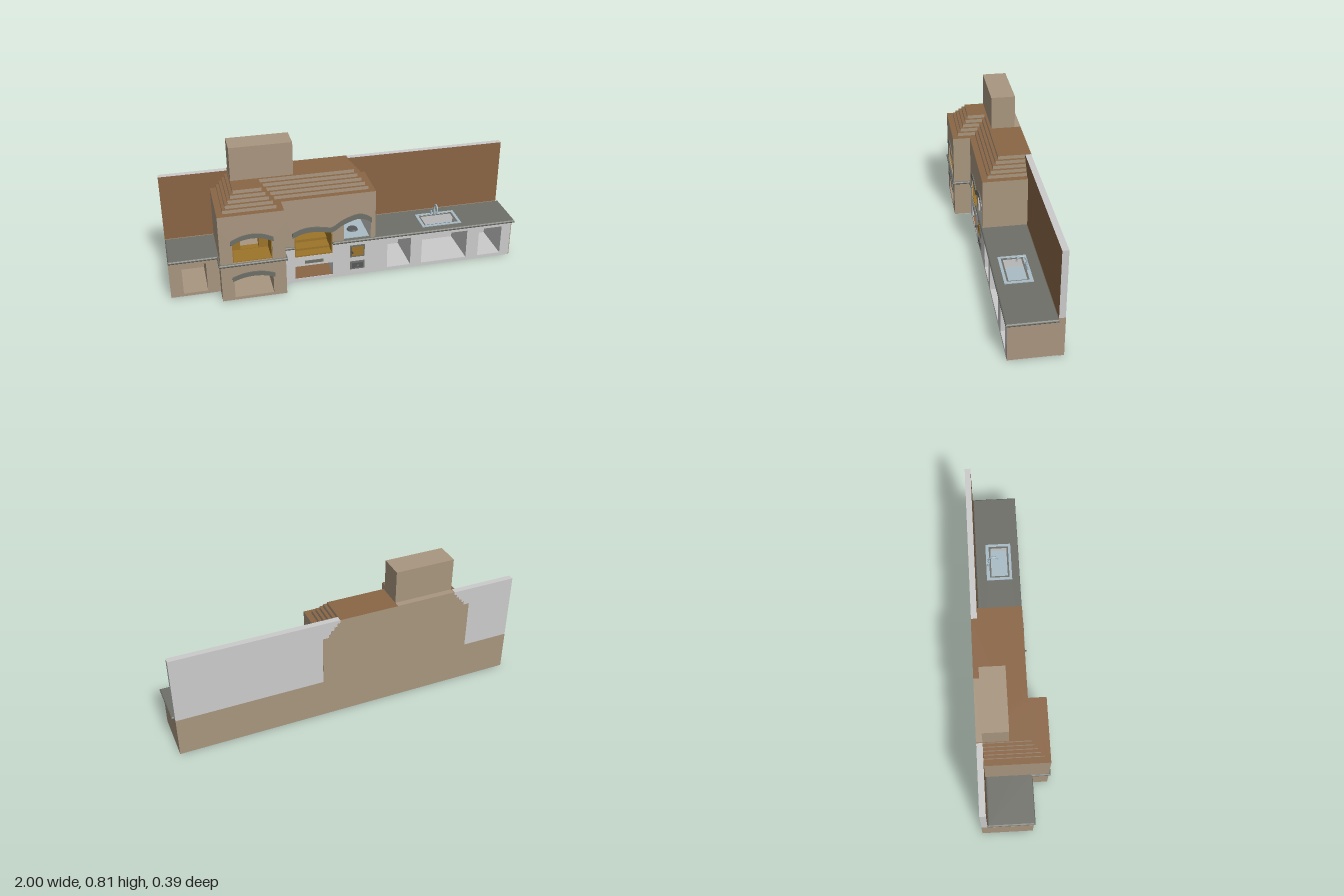
import * as THREE from 'three';

const mat = (name, color) => {
  const m = new THREE.MeshStandardMaterial({ color });
  m.name = name;
  return m;
};

export function createModel() {
  const tan = mat('tan stone', 0xa8967f);
  const brown = mat('brown plaster', 0x8a6545);
  const white = mat('light grey', 0xcbcbcb);
  const slate = mat('slate', 0x6e6f68);
  const mustard = mat('firebrick', 0x9c742a);
  const steel = mat('steel', 0xa9bcc6);
  const dark = mat('dark iron', 0x55575a);

  const root = new THREE.Group();
  root.name = 'outdoorKitchen';
  const add = (name, geo, material) => {
    const m = new THREE.Mesh(geo, material);
    m.name = name;
    root.add(m);
    return m;
  };
  // box given by its limits
  const box = (name, x0, x1, y0, y1, z0, z1, m) =>
    add(name, new THREE.BoxGeometry(x1 - x0, y1 - y0, z1 - z0)
      .translate((x0 + x1) / 2, (y0 + y1) / 2, (z0 + z1) / 2), m);
  const poly = (pts) => new THREE.Shape(pts.map(p => new THREE.Vector2(...p)));
  const rect = (x0, x1, y0, y1) => poly([[x0, y0], [x1, y0], [x1, y1], [x0, y1]]);
  // opening with straight sides and a curved head
  const arch = (x0, x1, y0, y1, peak) => {
    const s = new THREE.Shape();
    s.moveTo(x0, y0).lineTo(x1, y0).lineTo(x1, y1);
    s.quadraticCurveTo((x0 + x1) / 2, 2 * peak - y1, x0, y1);
    s.closePath();
    return s;
  };
  // upright shape pushed along z
  const upright = (name, shape, holes, z0, z1, m) => {
    shape.holes = holes;
    return add(name, new THREE.ExtrudeGeometry(shape,
      { depth: z1 - z0, bevelEnabled: false, curveSegments: 16 }).translate(0, 0, z0), m);
  };
  // floor plan given as x,z pushed up y
  const plan = (name, pts, holes, y0, y1, m, bevel) => {
    const flip = a => a.map(([x, z]) => [x, -z]);
    const s = poly(flip(pts));
    s.holes = holes.map(h => poly(flip(h)));
    const opt = bevel
      ? { depth: y1 - y0 - 2 * bevel, bevelSize: bevel, bevelThickness: bevel, bevelOffset: -bevel, bevelSegments: 4 }
      : { depth: y1 - y0, bevelEnabled: false };
    return add(name, new THREE.ExtrudeGeometry(s, opt).rotateX(-Math.PI / 2).translate(0, y0 + (bevel || 0), 0), m);
  };
  const planRect = (x0, x1, z0, z1) => [[x0, z0], [x1, z0], [x1, z1], [x0, z1]];

  const L = -1, R = 0.985, O0 = -0.727, O1 = -0.372, G1 = 0.157;
  const back = -0.197, zw = -0.163, front = 0.087, ovenFront = 0.187;
  const floor = 0.003, top = 0.217, hoodY = 0.45;

  // back wall and rear stone
  box('backWall', L, R, 0.233, 0.62, -0.196, zw, [white, white, white, white, brown, white]);
  box('rearBase', L, R, 0, 0.233, back, zw, tan);
  box('rearStone', O0, G1, 0.233, hoodY, back, zw, tan);
  plan('underside', [[L, zw], [R, zw], [R, front], [O1, front], [O1, ovenFront], [O0, ovenFront], [O0, front], [L, front]],
    [], 0, floor, white);

  // left cabinet
  upright('leftCabinet', rect(L, O0, floor, top), [rect(-0.93, -0.797, 0.02, 0.197)], zw, front, tan);

  // pizza oven block
  upright('ovenBlock', rect(O0, O1, floor, hoodY), [
    arch(-0.658, -0.444, 0.02, 0.125, 0.146),
    arch(-0.658, -0.444, 0.236, 0.35, 0.38),
  ], zw, ovenFront, tan);
  upright('ovenLining', arch(-0.658, -0.444, 0.236, 0.35, 0.38),
    [arch(-0.653, -0.449, 0.24, 0.346, 0.376)], 0.06, 0.18, mustard);
  upright('ovenMouth', arch(-0.656, -0.446, 0.237, 0.35, 0.379),
    [arch(-0.602, -0.5, 0.242, 0.3, 0.316)], 0.02, 0.06, mustard);
  box('ovenBack', -0.657, -0.445, 0.237, 0.35, -0.1, -0.09, mustard);

  // grill counter base with notch for the grill
  upright('grillBase', poly([[O1, floor], [G1, floor], [G1, top], [-0.09, top], [-0.09, 0.16],
    [-0.305, 0.16], [-0.305, top], [O1, top]]), [rect(-0.305, -0.09, 0.02, 0.1)], zw, front, white);
  box('woodStoreBack', -0.305, -0.09, 0.02, 0.1, -0.16, -0.155, tan);
  box('woodStoreFloor', -0.304, -0.091, 0.02, 0.023, -0.155, 0.084, brown);

  // stone front above the grill and the side burner
  const g = new THREE.Shape();
  g.moveTo(O1, 0.232).lineTo(-0.305, 0.232).lineTo(-0.305, 0.29);
  g.quadraticCurveTo(-0.1975, 0.34, -0.09, 0.295);
  g.lineTo(-0.09, 0.232).lineTo(-0.025, 0.232).lineTo(-0.025, 0.335);
  g.quadraticCurveTo(0.0525, 0.395, 0.13, 0.335);
  g.lineTo(0.13, 0.232).lineTo(0.152, 0.232).lineTo(0.152, hoodY).lineTo(O1, hoodY);
  upright('grillSurround', g, [], zw, front, [tan, white]);
  box('surroundSide', 0.152, G1, 0.225, hoodY, zw, front, tan);
  box('surroundBack', O1, 0.152, 0.16, hoodY, zw, -0.159, white);

  // firebrick grill box
  box('grillFloor', -0.305, -0.09, 0.16, 0.168, -0.14, 0.085, mustard);
  box('grillBack', -0.305, -0.09, 0.16, 0.283, -0.145, -0.135, mustard);
  for (const [x0, x1] of [[-0.305, -0.299], [-0.096, -0.09]])
    box('grillSide', x0, x1, 0.16, 0.283, -0.14, 0.085, mustard);
  box('grillStep', -0.299, -0.096, 0.168, 0.18, -0.135, 0.03, mustard);
  box('grillUpperStep', -0.299, -0.096, 0.18, 0.195, -0.135, -0.04, mustard);

  // side burner
  box('burnerPlate', -0.02, 0.125, 0.23, 0.237, -0.13, 0.07, steel);
  add('burner', new THREE.CylinderGeometry(0.028, 0.032, 0.008, 20).translate(0.05, 0.241, -0.02), dark);

  // slate trims over the openings
  const trim = (name, pts, h, z0, z1) => {
    const curve = new THREE.SplineCurve(pts.map(p => new THREE.Vector2(...p))).getPoints(40);
    const upper = curve.map(p => new THREE.Vector2(p.x, p.y + h)).reverse();
    upright(name, new THREE.Shape([...curve, ...upper]), [], z0, z1, slate);
  };
  for (const [name, y, rise] of [['ovenTrim', 0.347, 0.033], ['lowerOvenTrim', 0.122, 0.024]])
    trim(name, [[-0.667, y], [-0.61, y + rise * 0.75], [-0.551, y + rise], [-0.492, y + rise * 0.75], [-0.435, y]],
      0.026, 0.18, 0.193);
  trim('waveTrim', [[-0.317, 0.288], [-0.26, 0.31], [-0.2, 0.315], [-0.14, 0.307], [-0.09, 0.3],
    [-0.03, 0.337], [0.05, 0.364], [0.1, 0.354], [0.135, 0.33]], 0.03, 0.08, 0.094);

  // ash slot and the two small doors
  box('ashSlot', -0.25, -0.145, 0.115, 0.133, 0.08, 0.091, slate);
  box('fireDoorFrame', 0.01, 0.095, 0.12, 0.195, 0.08, 0.093, slate);
  box('fireDoorPanel', 0.019, 0.086, 0.13, 0.186, 0.09, 0.096, mustard);
  box('fireDoorHandle', 0.018, 0.024, 0.152, 0.164, 0.093, 0.112, dark);
  box('ashDoor', 0.01, 0.095, 0.04, 0.09, 0.08, 0.093, slate);
  box('ashDoorPanel', 0.02, 0.085, 0.05, 0.08, 0.09, 0.096, dark);
  box('ashDoorHandle', 0.045, 0.06, 0.061, 0.067, 0.095, 0.102, slate);

  // right cabinets, open above the middle bay for the sink
  const bays = () => [rect(0.23, 0.37, 0.02, 0.197), rect(0.785, 0.925, 0.02, 0.197)];
  const E1 = R - 0.004;
  upright('rightCabinets', poly([[G1, floor], [E1, floor], [E1, top], [0.712, top], [0.712, 0.02],
    [0.437, 0.02], [0.437, top], [G1, top]]), bays(), zw, 0.06, white);
  upright('rightCabinetFront', rect(G1, E1, floor, top), [...bays(), rect(0.437, 0.712, 0.02, 0.197)], 0.06, front, white);
  box('cabinetBack', G1, E1, floor, top, zw, -0.159, white);
  box('endPanel', E1, R, floor, top, zw, front, tan);

  // rounded worktop, notched for the grill and cut for the sink
  plan('worktop', [[L, zw], [1, zw], [1, 0.097], [-0.09, 0.097], [-0.09, -0.13], [-0.305, -0.13], [-0.305, 0.097],
    [-0.362, 0.097], [-0.362, 0.197], [-0.737, 0.197], [-0.737, 0.097], [L, 0.097]],
  [planRect(0.467, 0.668, -0.08, 0.035)], 0.215, 0.233, slate, 0.009);

  // sink
  const bowl = planRect(0.466, 0.669, -0.081, 0.036);
  plan('sinkRim', planRect(0.45, 0.685, -0.1, 0.051), [bowl], 0.232, 0.237, steel);
  plan('sinkWalls', planRect(0.462, 0.673, -0.085, 0.04), [bowl], 0.17, 0.233, steel);
  box('sinkBottom', 0.462, 0.673, 0.168, 0.173, -0.085, 0.04, steel);

  // tap
  const fx = 0.565;
  add('tapPost', new THREE.CylinderGeometry(0.007, 0.007, 0.028, 16).translate(fx, 0.25, -0.083), steel);
  const path = new THREE.CatmullRomCurve3([[0.26, -0.083], [0.285, -0.083], [0.302, -0.074], [0.309, -0.056],
    [0.302, -0.038], [0.282, -0.03]].map(([y, z]) => new THREE.Vector3(fx, y, z)));
  add('tapSpout', new THREE.TubeGeometry(path, 32, 0.0045, 10), steel);
  add('spoutEnd', new THREE.CircleGeometry(0.0045, 10).rotateX(Math.PI / 2).translate(fx, 0.282, -0.03), steel);
  for (const s of [-1, 1]) {
    add('tapHandle', new THREE.CylinderGeometry(0.005, 0.006, 0.025, 12).translate(fx + s * 0.018, 0.248, -0.086), steel);
  }
  box('tapBridge', fx - 0.018, fx + 0.018, 0.242, 0.248, -0.089, -0.083, steel);

  // stepped hood
  const hood = (d, y0, y1) => plan('hoodStep', [[O0 + d, back], [G1 - d, back], [G1 - d, front - d],
    [O1 - d, front - d], [O1 - d, ovenFront - d], [O0 + d, ovenFront - d]], [], y0, y1, [brown, tan]);
  hood(0, hoodY, 0.523);
  for (let i = 0; i < 5; i++)
    hood(0.034 + i * 0.0165, 0.523 + i * 0.0195, 0.523 + (i + 1) * 0.0195 + (i === 4 ? 0.0005 : 0));

  // chimney
  box('chimney', -0.624, -0.281, 0.62, 0.813, zw, -0.027, tan);
  box('chimneyLedge', -0.624, -0.281, 0.615, 0.622, back, zw, tan);
  return root;
}
